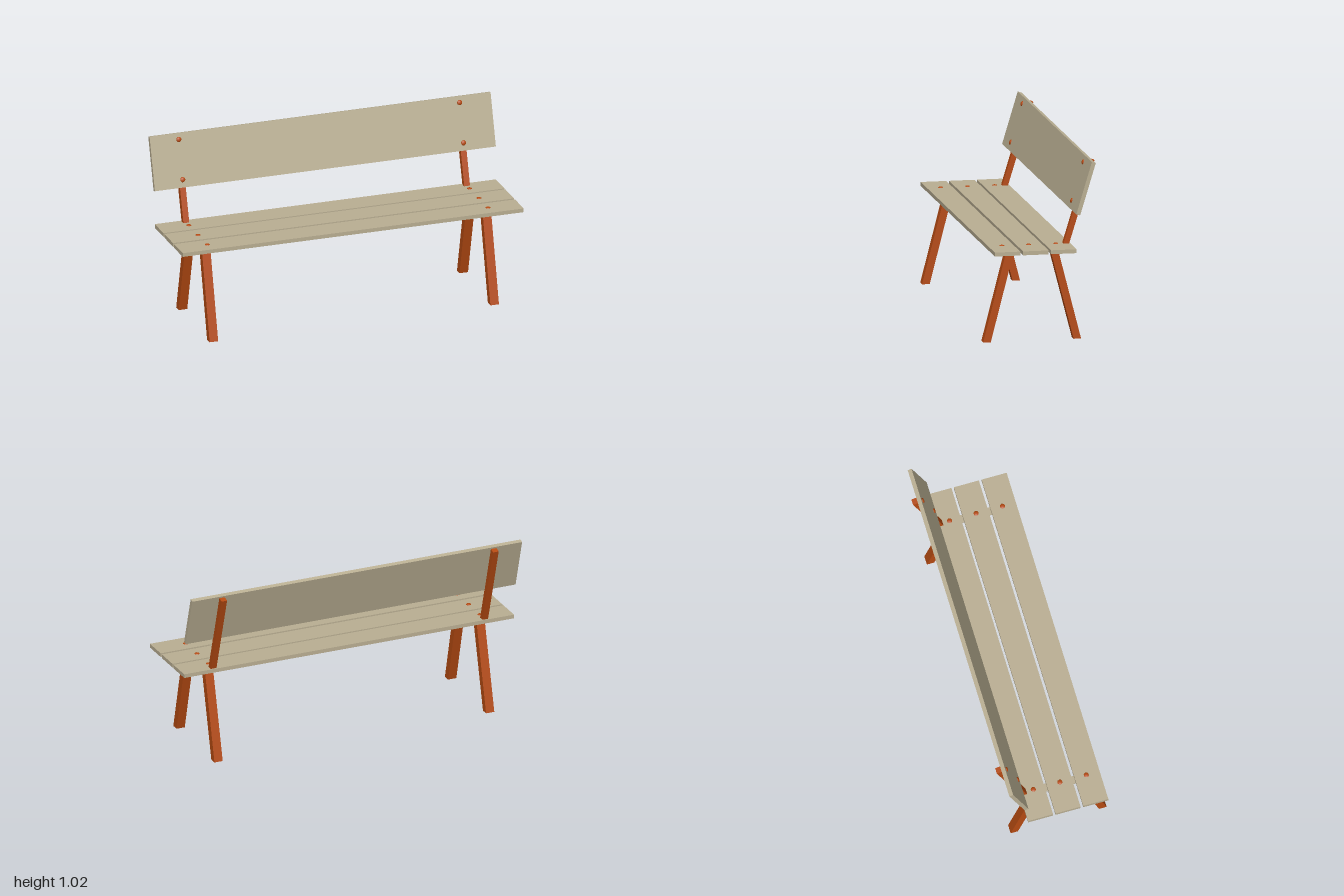
import * as THREE from 'three';

const wood = new THREE.MeshStandardMaterial({ color: 0xb9ae92 });
wood.name = 'weathered wood';
const rust = new THREE.MeshStandardMaterial({ color: 0xb54a12 });
rust.name = 'rust orange';

// Extrudes a side profile of [z, y] points along x, centred on the given x.
function prism(name, profile, width, x, material) {
  const shape = new THREE.Shape(profile.map(([z, y]) => new THREE.Vector2(z, y)));
  const geometry = new THREE.ExtrudeGeometry(shape, { depth: width, bevelEnabled: false });
  geometry.translate(0, 0, -width / 2).rotateY(-Math.PI / 2);
  const mesh = new THREE.Mesh(geometry, material);
  mesh.name = name;
  mesh.position.x = x;
  return mesh;
}

// Low domed bolt head, rising along its local y.
function bolt(name, x, y, z, tilt, height) {
  const geometry = new THREE.SphereGeometry(0.015, 10, 4, 0, Math.PI * 2, 0, Math.PI / 2);
  geometry.scale(1, height / 0.015, 1);
  const mesh = new THREE.Mesh(geometry, rust);
  mesh.name = name;
  mesh.position.set(x, y, z);
  mesh.rotation.x = tilt;
  return mesh;
}

export function createModel() {
  const bench = new THREE.Group();
  bench.name = 'bench';

  // Seat slats
  const slatCentres = [0.21, 0.05, -0.108];
  for (const z of slatCentres) {
    const slat = new THREE.Mesh(new THREE.BoxGeometry(2, 0.022, 0.144), wood);
    slat.name = 'seatSlat';
    slat.position.set(0, 0.526, z);
    bench.add(slat);
  }

  // Leaning backrest board
  bench.add(prism('backrestBoard',
    [[-0.2, 0.727], [-0.178, 0.733], [-0.266, 1.025], [-0.288, 1.018]], 2, 0, wood));

  // One support frame near each end
  for (const x of [-0.829, 0.818]) {
    const frame = new THREE.Group();
    frame.name = x < 0 ? 'rightFrame' : 'leftFrame';
    frame.add(
      prism('seatBrace', [[-0.15, 0.506], [0.25, 0.506], [0.25, 0.515], [-0.15, 0.515]], 0.045, x, wood),
      prism('frontLeg', [[0.272, 0], [0.315, 0], [0.185, 0.506], [0.142, 0.506]], 0.05, x, rust),
      prism('backLeg', [[-0.238, 0], [-0.196, 0], [-0.065, 0.506], [-0.108, 0.506]], 0.05, x, rust),
      prism('backPost', [[-0.17, 0.53], [-0.138, 0.53], [-0.284, 1.009], [-0.315, 1.0]], 0.034, x, rust));

    // Bolts through the slats and the backrest
    for (const z of [0.205, 0.053, -0.1]) frame.add(bolt('seatBolt', x, 0.536, z, 0, 0.006));
    for (const y of [0.775, 0.99]) {
      const z = -0.178 - (y - 0.733) * 0.301;
      frame.add(bolt('backrestBolt', x - 0.003, y, z, Math.PI / 2 - 0.293, 0.008));
    }
    bench.add(frame);
  }
  return bench;
}
